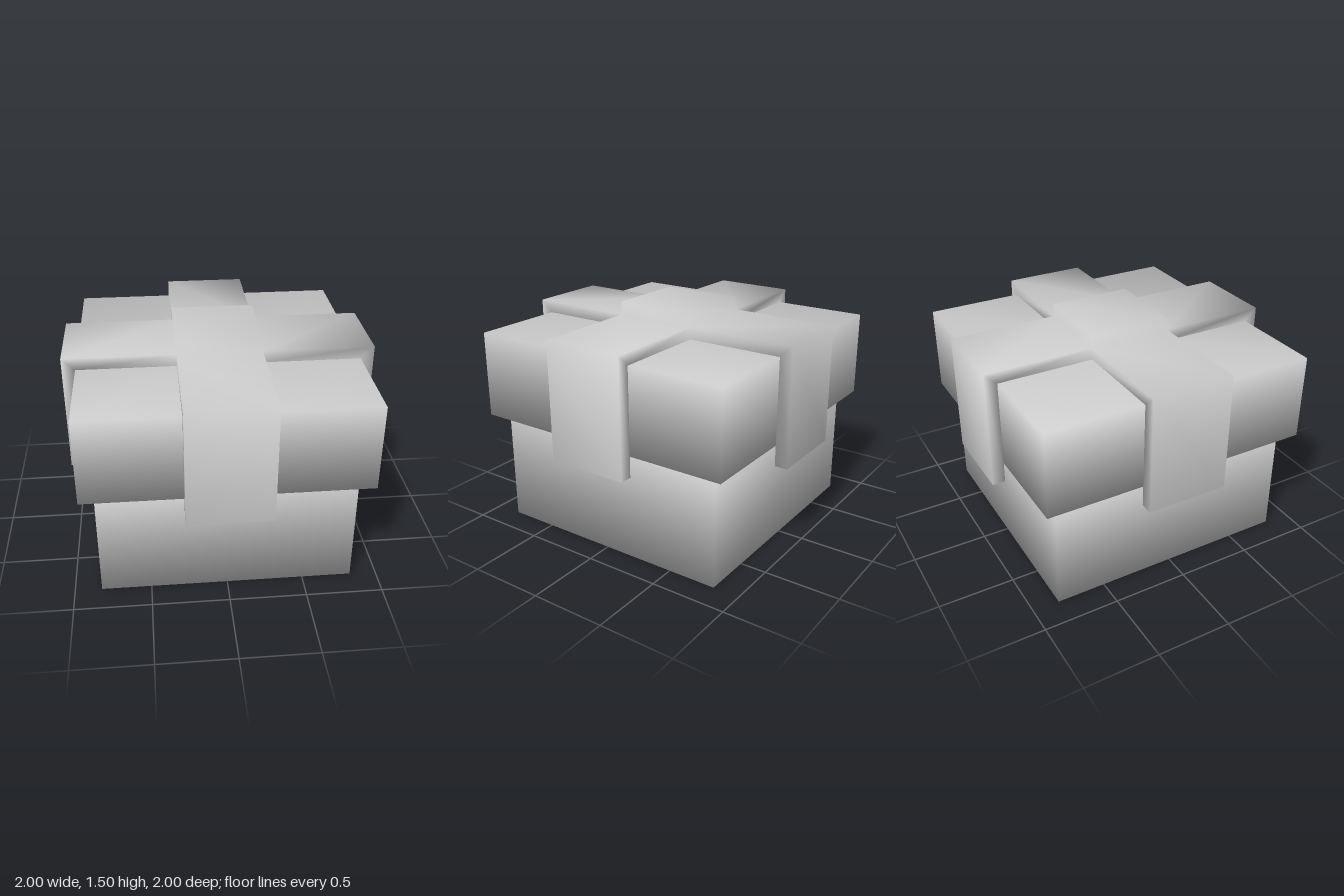
import * as THREE from 'three';
import { mergeVertices } from 'three/addons/utils/BufferGeometryUtils.js';

const material = new THREE.MeshStandardMaterial({ color: 0xcccccc });

// Share corners so the normals run smoothly over the edges
function soften(geometry) {
  geometry.deleteAttribute('normal');
  geometry.deleteAttribute('uv');
  const smooth = mergeVertices(geometry);
  smooth.computeVertexNormals();
  return smooth;
}

function part(name, geometry) {
  const mesh = new THREE.Mesh(soften(geometry), material);
  mesh.name = name;
  return mesh;
}

function block(name, size, bottom, top) {
  const geometry = new THREE.BoxGeometry(size, top - bottom, size);
  return part(name, geometry.translate(0, (bottom + top) / 2, 0));
}

// Crossed ribbon: four folded arms around a raised square knot
function ribbonGeometry() {
  const w = 0.275, lidHalf = 0.915, lidTop = 1.333, top = 1.413, hem = 0.62, knotTop = 1.5;
  const positions = [];
  const turn = new THREE.Matrix4();
  const quad = (...corners) => {
    for (const i of [0, 1, 2, 0, 2, 3]) {
      const p = new THREE.Vector3(...corners[i]).applyMatrix4(turn);
      positions.push(p.x, p.y, p.z);
    }
  };
  const strip = (p, q) => quad([...p, w], [...q, w], [...q, -w], [...p, -w]);
  const sides = (...profile) => {
    quad(...profile.map((p) => [...p, w]));
    quad(...profile.map((p) => [...p, -w]).reverse());
  };

  const path = [[w, knotTop], [w, top], [1, top], [1, hem], [lidHalf, hem], [lidHalf, lidTop]];
  for (let i = 0; i < 4; i++) {
    turn.makeRotationY((i * Math.PI) / 2);
    for (let k = 0; k < path.length - 1; k++) strip(path[k], path[k + 1]);
    sides([w, lidTop], [lidHalf, lidTop], [1, top], [w, top]);
    sides([lidHalf, lidTop], [lidHalf, hem], [1, hem], [1, top]);
  }
  turn.identity();
  strip([-w, knotTop], [w, knotTop]);

  const geometry = new THREE.BufferGeometry();
  geometry.setAttribute('position', new THREE.Float32BufferAttribute(positions, 3));
  return geometry;
}

export function createModel() {
  const model = new THREE.Group();
  model.name = 'giftBox';
  model.add(
    block('boxBase', 1.65, 0, 0.763),
    block('lid', 1.83, 0.76, 1.333),
    part('ribbon', ribbonGeometry()),
  );
  return model;
}
